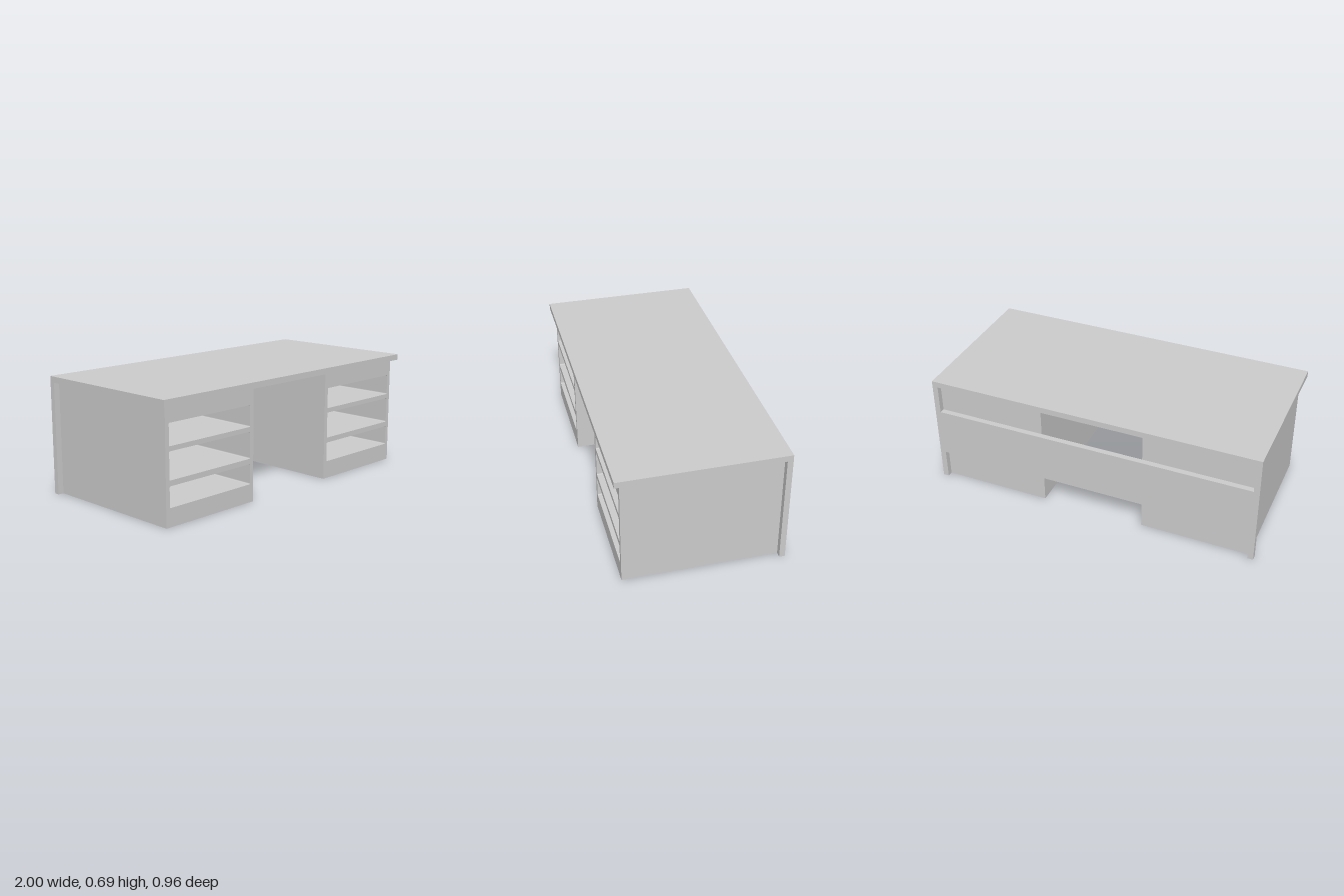
import * as THREE from 'three';

const material = new THREE.MeshStandardMaterial({ color: 0xcccccc });

// Box given by its minimum and maximum corners
function box(name, [x0, y0, z0], [x1, y1, z1]) {
  const mesh = new THREE.Mesh(new THREE.BoxGeometry(x1 - x0, y1 - y0, z1 - z0), material);
  mesh.position.set((x0 + x1) / 2, (y0 + y1) / 2, (z0 + z1) / 2);
  mesh.name = name;
  return mesh;
}

// Rectangle with slightly rounded corners
function roundedRect(x0, y0, x1, y1, r) {
  const p = new THREE.Path();
  p.absarc(x1 - r, y1 - r, r, 0, Math.PI / 2);
  p.absarc(x0 + r, y1 - r, r, Math.PI / 2, Math.PI);
  p.absarc(x0 + r, y0 + r, r, Math.PI, Math.PI * 1.5);
  p.absarc(x1 - r, y0 + r, r, Math.PI * 1.5, Math.PI * 2);
  p.closePath();
  return p;
}

const TOP = 0.655, BACK = -0.478, INNER_BACK = -0.445, FRONT = 0.445;
const CAVITY_BACK = -0.41;
const PED_IN = 0.312, PED_OUT = 0.966;

// Cabinet block with three open drawer bays facing forward
function pedestal(side) {
  const group = new THREE.Group();
  const x0 = side > 0 ? PED_IN : -PED_OUT;
  const x1 = side > 0 ? PED_OUT : -PED_IN;
  const face = new THREE.Shape();
  face.moveTo(x0, 0).lineTo(x1, 0).lineTo(x1, TOP).lineTo(x0, TOP).closePath();
  for (const [y0, y1] of [[0.105, 0.222], [0.253, 0.408], [0.435, 0.558]]) {
    face.holes.push(roundedRect(x0 + 0.026, y0, x1 - 0.026, y1, 0.006));
  }
  const body = new THREE.Mesh(
    new THREE.ExtrudeGeometry(face, { depth: FRONT - CAVITY_BACK, bevelEnabled: false, curveSegments: 4 }),
    material
  );
  body.position.z = CAVITY_BACK;
  body.name = 'drawerBays';
  group.add(body, box('pedestalBack', [x0, 0, INNER_BACK], [x1, TOP, CAVITY_BACK]));
  group.name = side > 0 ? 'leftPedestal' : 'rightPedestal';
  return group;
}

export function createModel() {
  const desk = new THREE.Group();
  desk.name = 'desk';

  desk.add(box('deskTop', [-1, TOP, BACK], [1, 0.69, 0.478]));

  // Pedestals and the slim rear corner posts
  for (const side of [-1, 1]) {
    desk.add(pedestal(side));
    const a = side * PED_OUT, b = side;
    desk.add(box(side > 0 ? 'leftRearPost' : 'rightRearPost',
      [Math.min(a, b), 0, BACK], [Math.max(a, b), TOP, INNER_BACK]));
  }

  // Modesty panel spanning between the posts
  desk.add(box('modestyPanel', [-PED_OUT, 0.184, BACK], [PED_OUT, 0.48, INNER_BACK]));

  return desk;
}
